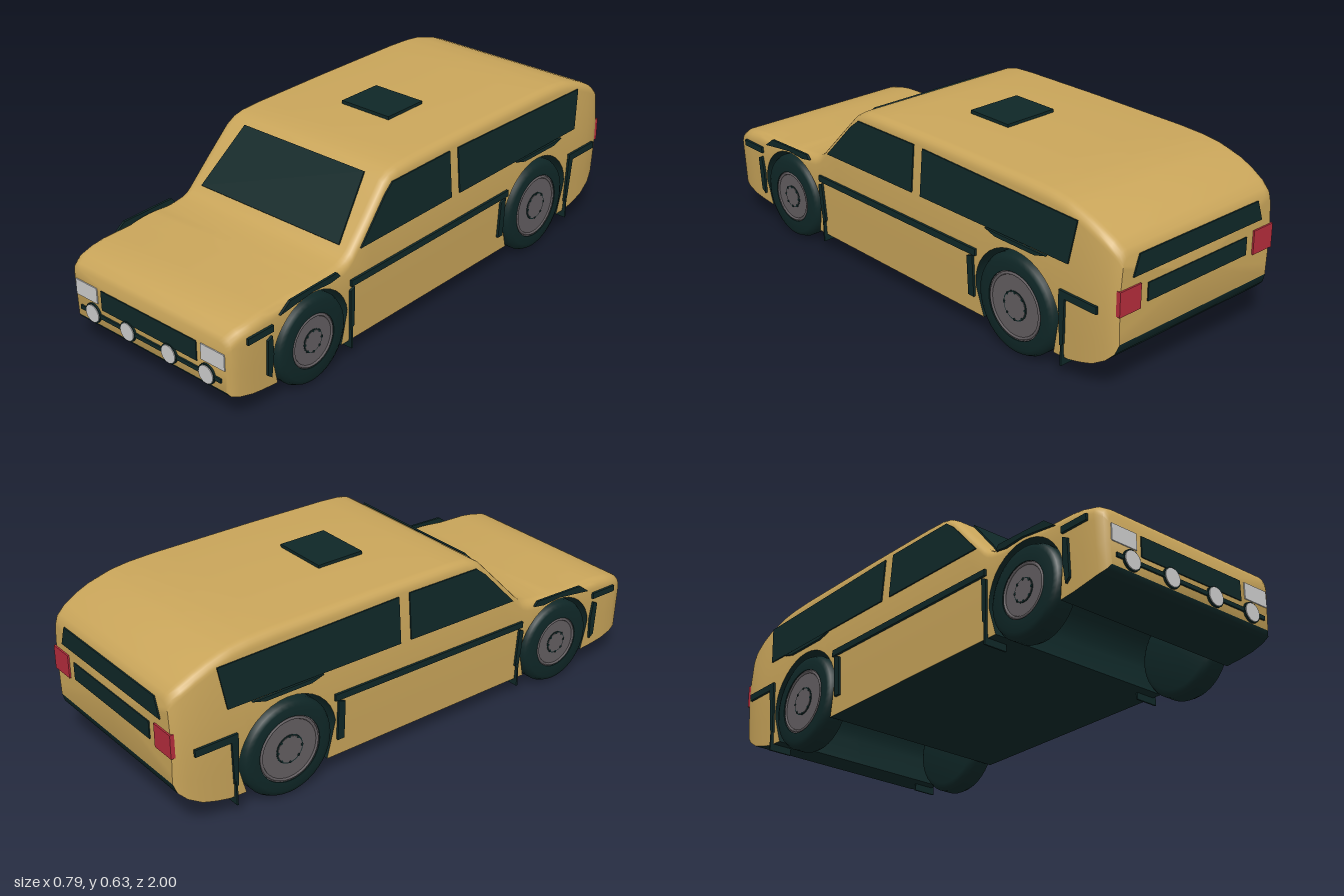
import * as THREE from 'three';
import { toCreasedNormals } from 'three/addons/utils/BufferGeometryUtils.js';

const mat = (name, color) => Object.assign(new THREE.MeshStandardMaterial({ color }), { name });

// linear interpolation in a table of [key, value], keys descending
function lerpTable(table, k) {
  if (k >= table[0][0]) return table[0][1];
  for (let i = 1; i < table.length; i++) {
    const [k0, v0] = table[i - 1], [k1, v1] = table[i];
    if (k >= k1) return v0 + (v1 - v0) * (k0 - k) / (k0 - k1);
  }
  return table[table.length - 1][1];
}

// body outline along z: top height, bottom height, plan inset; half width by height
const TOP = [[0.99, 0.3], [0.98, 0.318], [0.95, 0.336], [0.9, 0.347], [0.85, 0.354], [0.64, 0.36], [0.54, 0.365], [0.49, 0.373],
  [0.465, 0.384], [0.445, 0.4], [0.27, 0.585], [0.24, 0.604], [0.2, 0.614], [0.12, 0.618], [-0.2, 0.621], [-0.6, 0.62],
  [-0.7, 0.616], [-0.77, 0.607], [-0.85, 0.583], [-0.9, 0.562], [-0.95, 0.535], [-0.98, 0.512], [-0.992, 0.49]];
const BOTTOM = [[0.99, 0.125], [0.98, 0.11], [0.95, 0.1], [0.9, 0.088], [0.815, 0.075], [0.6, 0.07], [-0.7, 0.07],
  [-0.8, 0.078], [-0.85, 0.09], [-0.9, 0.105], [-0.95, 0.135], [-0.98, 0.165], [-0.992, 0.2]];
const INSET = [[0.99, 0.026], [0.98, 0.014], [0.95, 0.005], [0.9, 0], [-0.85, 0], [-0.9, 0.003], [-0.95, 0.01], [-0.98, 0.02], [-0.992, 0.03]];
const WIDTH = [[0.62, 0.367], [0.39, 0.385], [0.28, 0.385], [0.07, 0.374]];
const halfWidth = y => lerpTable(WIDTH, y);

const WHEELS = [
  { name: 'front', z: 0.64, y: 0.163, r: 0.16, arch: 0.175, rim: 0.096 },
  { name: 'rear', z: -0.57, y: 0.18, r: 0.178, arch: 0.195, rim: 0.12 },
];

// stations from nose to tail, the arches being cut by raising the floor
function stations() {
  const list = [0.99, 0.98, 0.95, 0.9, 0.85, 0.445, 0.36, 0.27, 0.24, 0.2, 0.12, 0, -0.2, -0.8, -0.85, -0.9, -0.95, -0.98, -0.992]
    .map(z => ({ z, b: lerpTable(BOTTOM, z) }));
  for (const w of WHEELS) {
    const n = 18;
    for (let i = 0; i <= n; i++) {
      const a = Math.PI * i / n;
      list.push({ z: w.z + w.arch * Math.cos(a), b: w.y + w.arch * Math.sin(a), order: 0 });
    }
    for (const s of [1, -1]) {
      const z = w.z + s * w.arch;
      list.push({ z, b: lerpTable(BOTTOM, z), order: -s, lip: { w, s } });
    }
  }
  return list.sort((p, q) => Math.abs(q.z - p.z) > 1e-6 ? q.z - p.z : (p.order || 0) - (q.order || 0));
}

function bodyGeometry() {
  const pos = [], paint = [], floor = [];
  const rings = stations();
  let n = 0;
  for (const { z, b, lip } of rings) {
    const t = lerpTable(TOP, z), inset = lerpTable(INSET, z);
    const rc = Math.min(0.035, (t - b) * 0.9), shoulder = t - rc;
    const belt = Math.max(b, Math.min(0.39, shoulder)), mid = Math.max(b, Math.min(0.28, shoulder));
    const half = [[0, b]];
    for (const y of [b, (b + mid) / 2, mid, belt, (belt + shoulder) / 2]) half.push([halfWidth(y) - inset, y]);
    const w = halfWidth(shoulder) - inset;
    for (let i = 0; i <= 5; i++) {
      const a = Math.PI / 2 * i / 5;
      half.push([w - rc * (1 - Math.cos(a)), shoulder + rc * Math.sin(a)]);
    }
    half.push([0, t]);
    const ring = half.concat(half.slice(1, -1).reverse().map(([x, y]) => [-x, y]));
    n = ring.length;
    for (const [x, y] of ring) {
      const round = lip && y < lip.w.y;
      pos.push(x, y, round ? lip.w.z + lip.s * Math.sqrt(lip.w.arch ** 2 - (y - lip.w.y) ** 2) : z);
    }
  }
  for (let k = 0; k < rings.length - 1; k++) {
    for (let i = 0; i < n; i++) {
      const j = (i + 1) % n, a = k * n, b = a + n;
      (i === 0 || i === n - 1 ? floor : paint).push(a + i, b + i, a + j, a + j, b + i, b + j);
    }
  }
  // nose and tail faces
  const last = (rings.length - 1) * n, c = pos.length / 3;
  pos.push(0, 0.21, rings[0].z, 0, 0.34, rings[rings.length - 1].z);
  for (let i = 0; i < n; i++) {
    const j = (i + 1) % n;
    paint.push(c, i, j, c + 1, last + j, last + i);
  }
  const g = new THREE.BufferGeometry();
  g.setAttribute('position', new THREE.Float32BufferAttribute(pos, 3));
  g.setIndex(paint.concat(floor));
  g.addGroup(0, paint.length, 0);
  g.addGroup(paint.length, floor.length, 1);
  return toCreasedNormals(g, 0.7);
}

// flat plate from [x, y] corners
function plate(points, depth) {
  const shape = new THREE.Shape(points.map(([x, y]) => new THREE.Vector2(x, y)));
  return new THREE.ExtrudeGeometry(shape, { depth, bevelEnabled: false });
}

// plate lying on the leaning body side, from [z, y] corners
function sidePlate(points, depth, s) {
  const g = plate(points.map(([z, y]) => [-s * z, y]), depth).rotateY(s * Math.PI / 2);
  const p = g.attributes.position;
  for (let i = 0; i < p.count; i++) p.setX(i, p.getX(i) + s * halfWidth(p.getY(i)));
  g.computeVertexNormals();
  return g;
}

const rect = (z0, z1, y0, y1) => [[z0, y0], [z1, y0], [z1, y1], [z0, y1]];

export function createModel() {
  const gold = mat('gold paint', 0xc9a55a), dark = mat('dark trim', 0x0f2727);
  const white = mat('lamp white', 0xcccccc), red = mat('tail red', 0xb52c3c), grey = mat('rim grey', 0x625d60);
  const car = new THREE.Group();
  car.name = 'stationWagon';
  const add = (name, geo, material, x = 0, y = 0, z = 0, parent = car) => {
    const m = new THREE.Mesh(geo, material);
    m.name = name;
    m.position.set(x, y, z);
    parent.add(m);
    return m;
  };
  const box = (name, material, w, h, d, x, y, z) => add(name, new THREE.BoxGeometry(w, h, d), material, x, y, z);

  add('body', bodyGeometry(), [gold, dark]);

  // glass and roof hatch
  const slope = Math.atan2(0.175, 0.185);
  add('windshield', plate([[-0.322, 0], [0.322, 0], [0.277, 0.255], [-0.277, 0.255]], 0.006), dark, 0, 0.405, 0.441).rotation.x = -slope;
  box('roofHatch', dark, 0.216, 0.014, 0.185, 0, 0.625, -0.1425);
  add('rearWindow', plate([[-0.305, 0.415], [0.305, 0.415], [0.28, 0.487], [-0.28, 0.487]], 0.006), dark, 0, 0, -0.997);

  // front and rear fittings
  box('grille', dark, 0.45, 0.072, 0.008, 0, 0.226, 0.99);
  box('lampBar', dark, 0.666, 0.015, 0.008, 0, 0.162, 0.992);
  box('rearPanel', dark, 0.47, 0.064, 0.008, 0, 0.342, -0.992);
  for (const x of [-0.27, -0.098, 0.098, 0.27]) {
    add('lampHousing', new THREE.CylinderGeometry(0.036, 0.036, 0.01, 28).rotateX(Math.PI / 2), dark, x, 0.162, 0.992);
    add('spotLamp', new THREE.CylinderGeometry(0.032, 0.032, 0.012, 28).rotateX(Math.PI / 2), white, x, 0.162, 0.994);
  }

  // side trim, the same on both sides
  const trim = {
    frontSideWindow: [[0.41, 0.405], [0.28, 0.545], [0.24, 0.577], [-0.06, 0.58], [-0.06, 0.41]],
    rearSideWindow: [[-0.105, 0.578], [-0.825, 0.565], [-0.8, 0.415], [-0.105, 0.41]],
    beltStripe: [[0.46, 0.285], [0.46, 0.308], [-0.385, 0.316], [-0.385, 0.292]],
    noseStripe: rect(0.82, 0.93, 0.285, 0.308),
    tailStripe: rect(-0.93, -0.77, 0.294, 0.32),
    frontFlare: [[0.79, 0.328], [0.745, 0.362], [0.53, 0.368], [0.515, 0.35], [0.56, 0.343], [0.64, 0.348], [0.74, 0.335]],
    rearFlare: [[-0.43, 0.41], [-0.71, 0.41], [-0.66, 0.396], [-0.48, 0.396]],
    frontArchLeadingTrim: [[0.845, 0.26], [0.825, 0.27], [0.818, 0.2], [0.825, 0.115], [0.843, 0.13]],
    frontArchTrailingTrim: [[0.462, 0.2], [0.465, 0.27], [0.445, 0.28], [0.44, 0.13], [0.455, 0.115]],
    rearArchLeadingTrim: [[-0.345, 0.135], [-0.345, 0.28], [-0.372, 0.29], [-0.372, 0.135]],
    rearArchTrailingTrim: [[-0.768, 0.3], [-0.795, 0.3], [-0.785, 0.13], [-0.77, 0.12]],
  };
  for (const s of [1, -1]) {
    const label = s > 0 ? 'left ' : 'right ';
    for (const [name, pts] of Object.entries(trim)) {
      add(label + name, sidePlate(pts, name.includes('Window') ? 0.005 : 0.009, s), dark);
    }
    box(label + 'headlight', white, 0.105, 0.058, 0.008, s * 0.298, 0.234, 0.99);
    box(label + 'tailLight', red, 0.094, 0.086, 0.028, s * 0.316, 0.342, -0.984);
    box(label + 'frontMudFlap', dark, 0.09, 0.12, 0.006, s * 0.342, 0.105, 0.452);
    box(label + 'rearMudFlap', dark, 0.09, 0.12, 0.006, s * 0.342, 0.11, -0.778);

    // wheels
    for (const w of WHEELS) {
      const wheel = new THREE.Group();
      wheel.name = label + w.name + 'Wheel';
      wheel.position.set(s * 0.343, w.y, w.z);
      wheel.rotation.z = -s * Math.PI / 2;
      const h = 0.047;
      const profile = [[0, -h], [w.r * 0.86, -h], [w.r * 0.95, -h * 0.85], [w.r, -h * 0.5], [w.r, h * 0.5],
        [w.r * 0.95, h * 0.85], [w.r * 0.86, h], [w.rim, h], [w.rim, h * 0.7], [0, h * 0.7]].map(p => new THREE.Vector2(...p));
      add('tyre', toCreasedNormals(new THREE.LatheGeometry(profile, 40), 0.7), dark, 0, 0, 0, wheel);
      const disc = (name, r, height, m, y) => add(name, new THREE.CylinderGeometry(r, r, height, 32), m, 0, y, 0, wheel);
      disc('rim', w.rim, 0.012, grey, 0.037);
      add('rimEdge', new THREE.TorusGeometry(w.rim * 0.93, 0.005, 6, 36).rotateX(Math.PI / 2), grey, 0, 0.043, 0, wheel);
      disc('hubRing', w.rim * 0.44, 0.003, dark, 0.043);
      disc('hub', w.rim * 0.4, 0.005, grey, 0.044);
      for (let i = 0; i < 8; i++) {
        const a = i * Math.PI / 4;
        add('wheelBolt', new THREE.CylinderGeometry(0.005, 0.005, 0.004, 8), dark,
          Math.cos(a) * w.rim * 0.4, 0.0455, Math.sin(a) * w.rim * 0.4, wheel);
      }
      car.add(wheel);
    }
  }
  return car;
}
